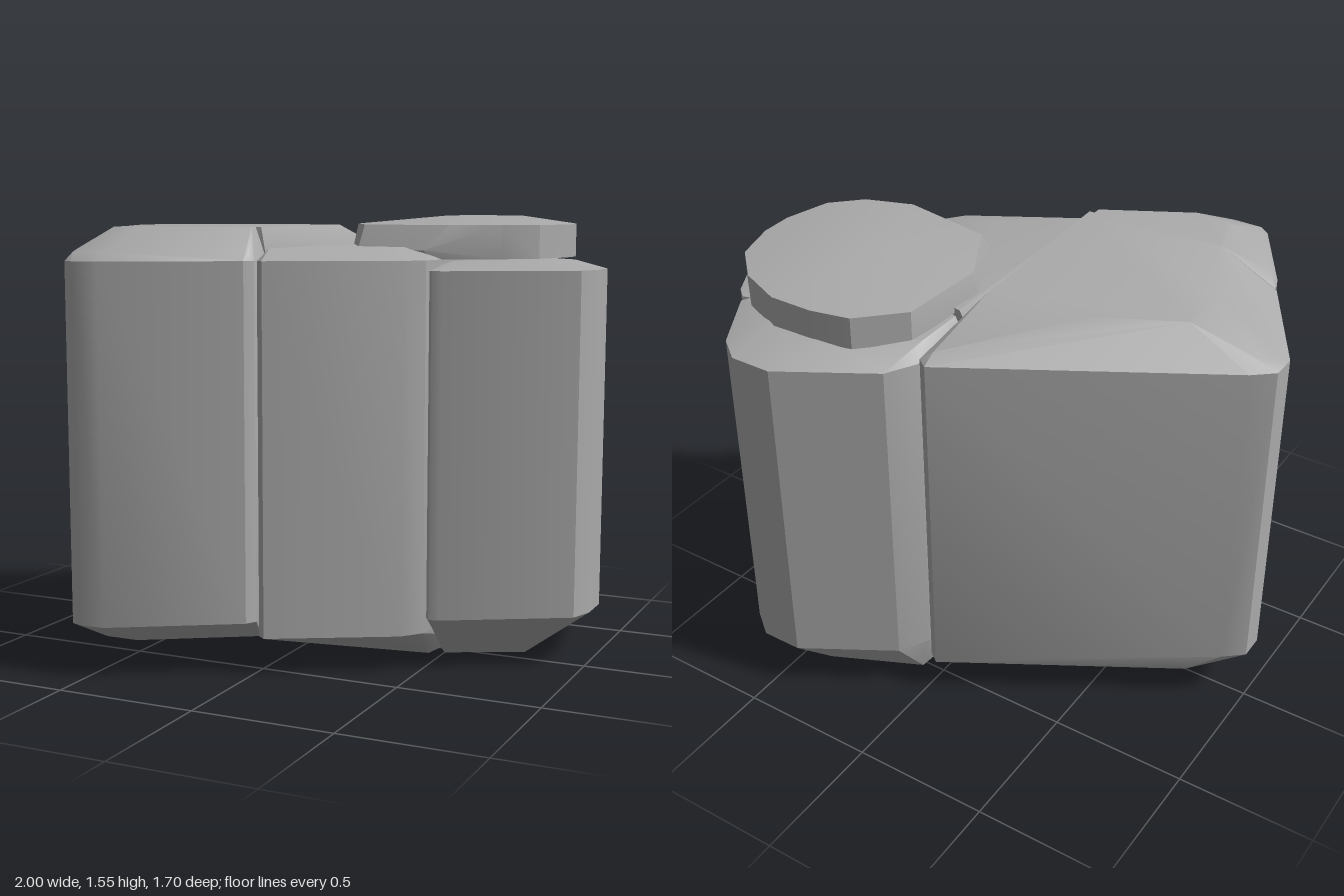
import * as THREE from 'three';
import { toCreasedNormals } from 'three/addons/utils/BufferGeometryUtils.js';
import { ConvexGeometry } from 'three/addons/geometries/ConvexGeometry.js';

// A ring of points at height y, from a plan outline of [x, z] pairs.
const ring = (y, plan) => plan.map(([x, z]) => new THREE.Vector3(x, y, z));

export function createModel() {
  const group = new THREE.Group();
  const stone = new THREE.MeshStandardMaterial({ color: 0xaaaaaa });
  stone.name = 'stone grey';

  // Chiselled convex block spanning several rings, with soft shallow edges.
  function block(name, ...rings) {
    const geometry = toCreasedNormals(new ConvexGeometry(rings.flat()), 0.5);
    const mesh = new THREE.Mesh(geometry, stone);
    mesh.name = name;
    group.add(mesh);
  }

  // Large rear block with a raised flat top
  const rear = [[-1, -0.02], [-0.93, -0.08], [-0.04, -0.6], [0, -0.57], [0, 0.46], [-0.77, 0.46], [-1, 0.07]];
  block('largeRearBlock',
    ring(0.21, rear.filter(([x]) => x < -0.9)),
    ring(0.14, [[-0.04, -0.6], [0, -0.57], [-0.77, 0.46]]),
    ring(0.1, [[-0.8, -0.1], [-0.85, 0.1], [-0.74, 0.44], [-0.02, 0.45], [-0.02, -0.5]]),
    ring(1.41, rear),
    ring(1.44, [[-0.93, -0.02], [-0.04, -0.55], [0, 0.4]]),
    ring(1.52, [[-0.7, 0.12], [-0.7, -0.06], [-0.42, -0.2], [-0.05, -0.24], [-0.03, 0.44], [-0.55, 0.46]]));

  // Front left block
  const frontLeft = [[-0.76, 0.47], [-0.74, 0.53], [-0.56, 0.83], [-0.52, 0.845], [-0.43, 0.84],
    [-0.02, 0.59], [0, 0.55], [0, 0.4], [-0.6, 0.4]];
  block('frontLeftBlock',
    ring(0.1, [[-0.72, 0.48], [-0.52, 0.68], [-0.4, 0.68], [-0.03, 0.45], [-0.5, 0.4]]),
    ring(0.18, frontLeft),
    ring(1.41, frontLeft),
    ring(1.44, [[-0.72, 0.52], [-0.54, 0.81], [-0.43, 0.81], [-0.02, 0.55]]),
    ring(1.52, [[-0.55, 0.46], [-0.5, 0.62], [-0.36, 0.64], [-0.05, 0.47], [-0.05, 0.4]]));

  // Narrow middle block, undercut at the front
  const middle = [[0.01, -0.3], [0.01, 0.55], [0.04, 0.575], [0.45, 0.35], [0.505, 0.28], [0.515, 0.2], [0.5, -0.2]];
  block('frontMiddleBlock',
    ring(0, [[0.05, 0.14], [0.45, 0.08], [0.5, -0.2], [0.05, -0.3]]),
    ring(0.13, middle),
    ring(0.42, middle),
    ring(1.41, middle),
    ring(1.45, [[0.03, -0.3], [0.03, 0.5], [0.3, 0.3], [0.42, 0.1]]));

  // Right block, tapered underneath
  const right = [[0.525, 0.28], [0.56, 0.275], [0.97, 0.04], [1, -0.05], [1, -0.18], [0.83, -0.49], [0.79, -0.525],
    [0.4, -0.4], [0.4, 0.1]];
  block('rightBlock',
    ring(0, [[0.8, -0.48], [0.76, -0.08], [0.5, 0.05], [0.4, -0.4]]),
    ring(0.18, right.filter(([x]) => x < 0.8 || x > 0.9)),
    ring(1.375, right),
    ring(1.4, [[0.55, 0.15], [0.8, 0], [0.85, -0.3], [0.7, -0.45], [0.4, -0.3]]));

  // Back block, tapered underneath
  const back = [[0.02, -0.55], [0.08, -0.66], [0.4, -0.85], [0.55, -0.85], [0.64, -0.78], [0.775, -0.55],
    [0.7, -0.45], [0.02, -0.2]];
  block('backBlock',
    ring(0, [[0.08, -0.52], [0.4, -0.67], [0.55, -0.67], [0.73, -0.53], [0.7, -0.45], [0.05, -0.2]]),
    ring(0.18, back),
    ring(1.375, back),
    ring(1.42, [[0.05, -0.48], [0.35, -0.67], [0.55, -0.65], [0.65, -0.45], [0.05, -0.2]]));

  // Faceted cap stone with a slightly crowned top
  const cap = [[0.08, -0.5], [0.22, -0.64], [0.36, -0.67], [0.52, -0.67], [0.68, -0.6], [0.8, -0.48],
    [0.845, -0.32], [0.845, -0.2], [0.8, -0.03], [0.7, 0.07]];
  block('capStone',
    ring(1.41, cap),
    ring(1.41, [[0.19, 0.1], [0.48, 0.175]]),
    ring(1.44, [[0.04, -0.17], [0.19, 0.13], [0.46, 0.19]]),
    ring(1.525, cap),
    ring(1.525, [[0.06, -0.17], [0.19, 0.07], [0.53, 0.13]]),
    ring(1.555, [[0.4, -0.38], [0.62, -0.38], [0.62, -0.2], [0.4, -0.2]]));

  return group;
}
